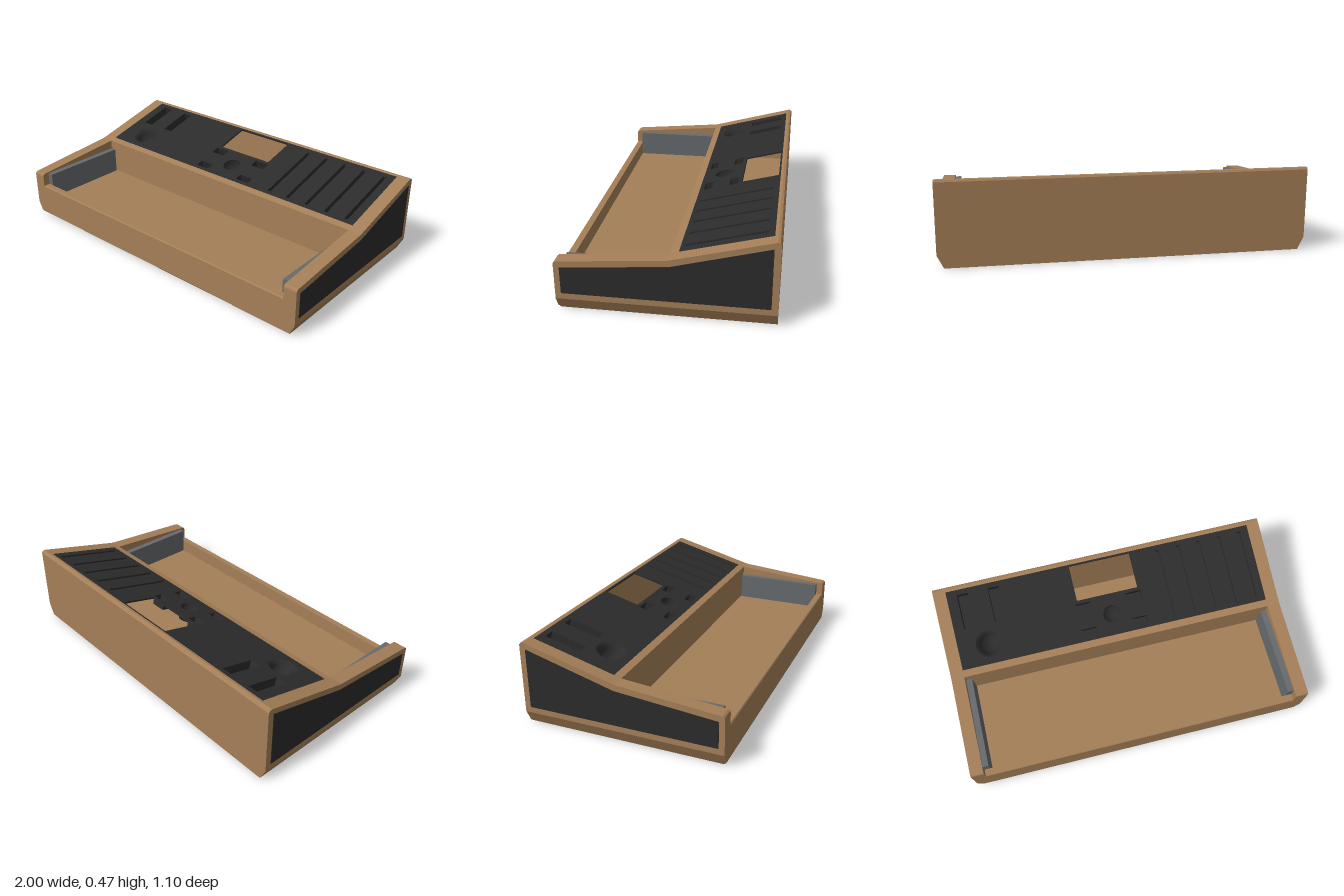
import * as THREE from 'three';
import { ConvexGeometry } from 'three/addons/geometries/ConvexGeometry.js';

const wood = new THREE.MeshStandardMaterial({ color: 0xa57f58 });
wood.name = 'woodBrown';
const dark = new THREE.MeshStandardMaterial({ color: 0x2c2c2c, side: THREE.DoubleSide });
dark.name = 'panelBlack';
const grey = new THREE.MeshStandardMaterial({ color: 0x666a6e });
grey.name = 'blockGrey';

const V = (x, y, z) => new THREE.Vector3(x, y, z);

function add(parent, name, geometry, material) {
  const mesh = new THREE.Mesh(geometry, material);
  mesh.name = name;
  parent.add(mesh);
  return mesh;
}

// Solid with a [z, y] profile running from x0 to x1
function prism(profile, x0, x1) {
  const shape = new THREE.Shape(profile.map(([z, y]) => new THREE.Vector2(-z, y)));
  const g = new THREE.ExtrudeGeometry(shape, { depth: x1 - x0, bevelEnabled: false });
  return g.rotateY(Math.PI / 2).translate(x0, 0, 0);
}

// Box open towards +z, its rim on z = 0
function tub(w, h, depth) {
  const g = new THREE.BoxGeometry(w, h, depth).translate(0, 0, -depth / 2);
  const index = Array.from(g.index.array);
  index.splice(24, 6);
  g.setIndex(index);
  g.clearGroups();
  return g;
}

export function createModel() {
  const model = new THREE.Group();
  model.name = 'keyboardCase';

  // Base with chamfered sides and front edge
  const corners = [];
  for (const s of [-1, 1]) {
    corners.push(V(s * 0.965, 0, -0.55), V(s * 0.965, 0, 0.535), V(s * 0.9725, 0.015, 0.55),
      V(s, 0.07, 0.55), V(s, 0.07, -0.55));
  }
  add(model, 'base', new ConvexGeometry(corners), wood);

  // Cheeks, side plates and key bed end blocks
  const cheek = [[0.55, 0.07], [0.55, 0.265], [0.547, 0.274], [0.537, 0.28], [-0.02, 0.33],
    [-0.53, 0.465], [-0.543, 0.462], [-0.55, 0.452], [-0.55, 0.07]];
  const plate = [[0.52, 0.103], [0.52, 0.248], [-0.025, 0.296], [-0.517, 0.43], [-0.517, 0.103]];
  for (const [side, s] of [['left', 1], ['right', -1]]) {
    const span = (a, b) => (s > 0 ? [a, b] : [-b, -a]);
    add(model, side + 'Cheek', prism(cheek, ...span(0.925, 1)), wood);
    add(model, side + 'SidePlate', prism(plate, ...span(0.997, 1.002)), dark);
    add(model, side + 'EndBlock',
      prism([[0.51, 0.12], [0.51, 0.275], [-0.02, 0.275], [-0.02, 0.12]], ...span(0.89, 0.925)), grey);
  }

  // Tray floor and the cross walls between the cheeks
  const walls = {
    floor: [[0.51, 0.07], [0.51, 0.12], [-0.515, 0.12], [-0.515, 0.07]],
    frontWall: [[0.55, 0.07], [0.55, 0.197], [0.545, 0.202], [0.51, 0.202], [0.51, 0.07]],
    dividerWall: [[-0.025, 0.12], [-0.025, 0.285], [-0.02, 0.285], [-0.02, 0.33], [-0.06, 0.3406], [-0.06, 0.12]],
    rearWall: [[-0.515, 0.07], [-0.515, 0.461], [-0.53, 0.465], [-0.543, 0.462], [-0.55, 0.452], [-0.55, 0.07]],
  };
  for (const [name, profile] of Object.entries(walls)) {
    add(model, name, prism(profile, -0.925, 0.925), wood);
  }

  // Sloped control panel: local y runs up the slope, local z points out of it
  const slope = Math.atan2(0.135, 0.51);
  const up = (z) => (-0.02 - z) / Math.cos(slope);
  const controls = new THREE.Group();
  controls.name = 'controlPanel';
  controls.position.set(0, 0.33, -0.02);
  controls.rotation.x = slope - Math.PI / 2;
  model.add(controls);

  const rect = (T, x0, x1, z0, z1) => new T([
    new THREE.Vector2(x0, up(z0)), new THREE.Vector2(x1, up(z0)),
    new THREE.Vector2(x1, up(z1)), new THREE.Vector2(x0, up(z1))]);
  const panel = rect(THREE.Shape, -0.925, 0.925, -0.06, -0.515);

  // Rectangular pockets: wheel slots, fader slots and buttons
  function pocket(name, x, w, z0, z1, depth) {
    panel.holes.push(rect(THREE.Path, x - w / 2, x + w / 2, z0, z1));
    const mesh = add(controls, name, tub(w, up(z1) - up(z0), depth), dark);
    mesh.position.set(x, (up(z0) + up(z1)) / 2, -0.001);
  }
  for (const x of [-0.832, -0.648]) pocket('wheelSlot', x, 0.065, -0.285, -0.485, 0.05);
  for (let i = 0; i < 5; i++) pocket('faderSlot', 0.355 + i * 0.128, 0.02, -0.085, -0.485, 0.03);
  for (const x of [-0.155, 0.155]) {
    pocket('buttonPocket', x, 0.09, -0.23, -0.28, 0.05);
    pocket('buttonPocket', x, 0.09, -0.085, -0.13, 0.05);
  }

  // Round wells, the joystick one with a funnel rim
  function well(name, x, z, profile) {
    const hole = new THREE.Path();
    hole.absarc(x, up(z), profile[0][0], 0, Math.PI * 2, true);
    panel.holes.push(hole);
    const points = profile.map(([r, y]) => new THREE.Vector2(r, y)).reverse();
    const mesh = add(controls, name, new THREE.LatheGeometry(points, 32).rotateX(Math.PI / 2), dark);
    mesh.position.set(x, up(z), -0.001);
  }
  well('joystickWell', -0.74, -0.175, [[0.08, 0], [0.052, -0.02], [0.052, -0.07], [0, -0.07]]);
  well('dialWell', 0, -0.18, [[0.052, 0], [0.052, -0.07], [0, -0.07]]);

  // Display window, open to the inside of the case
  panel.holes.push(rect(THREE.Path, -0.185, 0.185, -0.3, -0.505));
  add(controls, 'panelPlate', new THREE.ExtrudeGeometry(panel,
    { depth: 0.01, bevelEnabled: false, curveSegments: 16 }).translate(0, 0, -0.01), dark);

  return model;
}
